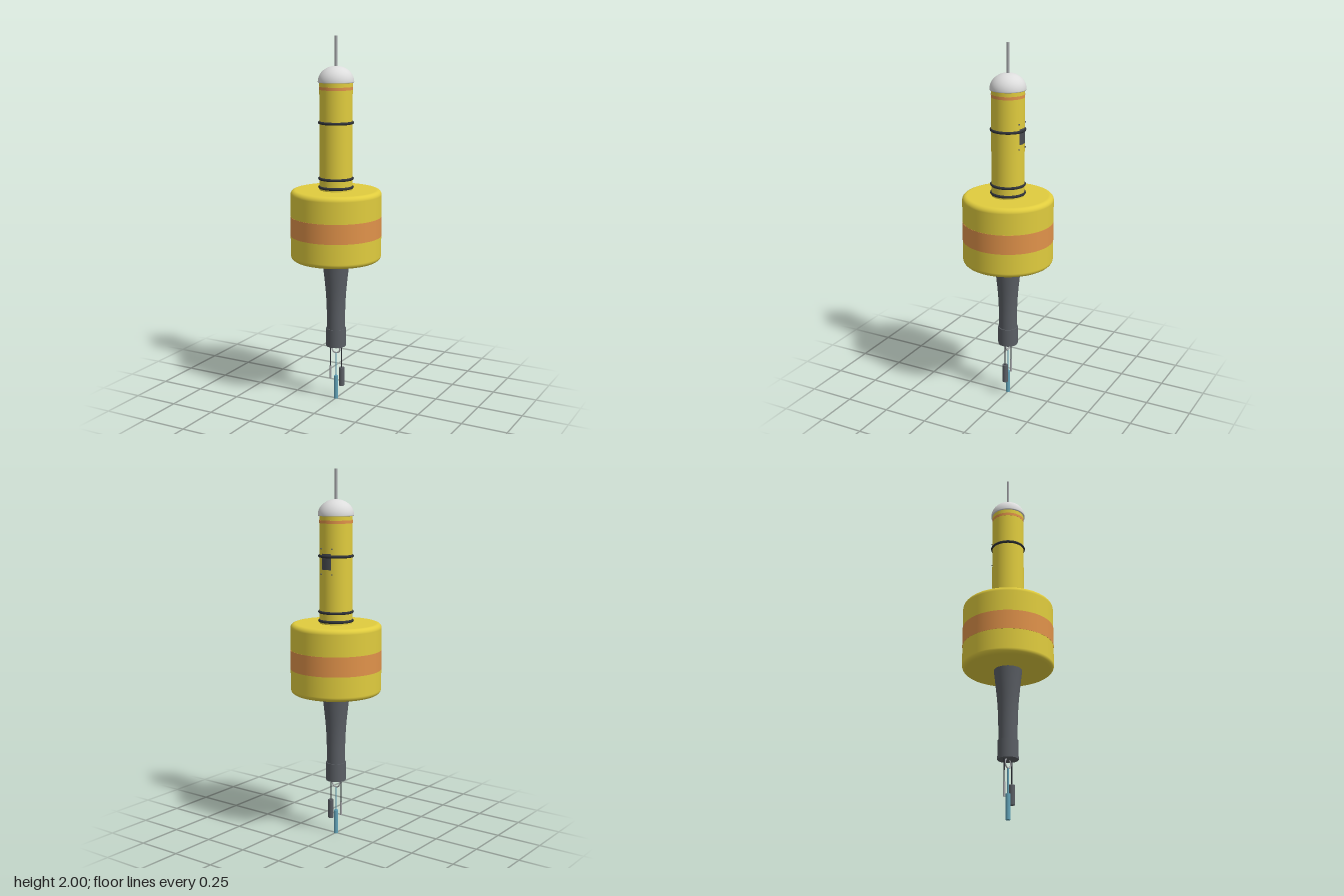
import * as THREE from 'three';

const mat = (name, color, side = THREE.FrontSide) => {
  const m = new THREE.MeshStandardMaterial({ color, side });
  m.name = name;
  return m;
};

export function createModel() {
  const yellow = mat('buoy yellow', 0xe0cc3e);
  const orange = mat('band orange', 0xe0924a);
  const darkGrey = mat('stem grey', 0x5a5e64);
  const black = mat('ring black', 0x2f3238);
  const white = mat('dome white', 0xdddddd);
  const metal = mat('metal grey', 0xa6a8ab);
  const blue = mat('sensor blue', 0x62a3b8);
  const panelGrey = mat('panel grey', 0x4a4d52, THREE.DoubleSide);

  const model = new THREE.Group();
  const add = (name, geo, material, x = 0, y = 0, z = 0) => {
    const mesh = new THREE.Mesh(geo, material);
    mesh.name = name;
    mesh.position.set(x, y, z);
    model.add(mesh);
    return mesh;
  };
  // upright cylinder between two heights
  const rod = (name, r, y0, y1, material, x = 0, seg = 64) =>
    add(name, new THREE.CylinderGeometry(r, r, y1 - y0, seg), material, x, (y0 + y1) / 2);
  const lathe = (name, pts, material) =>
    add(name, new THREE.LatheGeometry(pts.map(p => new THREE.Vector2(p[0], p[1])), 96), material);

  // float: drum with rounded rims
  const R = 0.245, y0 = 0.805, y1 = 1.188, c = 0.026;
  const drum = [[0, y0], [R - c - 0.002, y0]];
  for (let i = 0; i <= 8; i++) {
    const a = -Math.PI / 2 + (i / 8) * Math.PI / 2;
    drum.push([R - c + c * Math.cos(a), y0 + c + c * Math.sin(a)]);
  }
  for (let i = 0; i <= 8; i++) {
    const a = (i / 8) * Math.PI / 2;
    drum.push([R - c + c * Math.cos(a), y1 - c + c * Math.sin(a)]);
  }
  drum.push([R - c - 0.002, y1], [0, y1]);
  lathe('float', drum, yellow);
  rod('floatBand', R + 0.001, 0.94, 1.046, orange, 0, 96);

  // tower with seals and stripe
  rod('tower', 0.088, 1.18, 1.762, yellow);
  rod('towerStripe', 0.0888, 1.72, 1.736, orange);
  for (const y of [1.203, 1.25, 1.548]) {
    add('sealRing', new THREE.TorusGeometry(0.088, 0.0075, 12, 72), black, 0, y)
      .rotation.x = Math.PI / 2;
  }

  // dome with closed underside, and antenna
  const dome = [[0, 1.758], [0.0955, 1.758]];
  for (let i = 0; i <= 20; i++) {
    const a = (i / 20) * Math.PI / 2;
    dome.push([i === 20 ? 0 : 0.0957 * Math.cos(a), 1.762 + 0.082 * Math.sin(a)]);
  }
  lathe('dome', dome, white);
  rod('antenna', 0.007, 1.84, 2, metal, 0, 24);

  // curved panel and four screws on the back of the tower
  const half = 0.35;
  add('backPanel', new THREE.CylinderGeometry(0.0895, 0.0895, 0.084, 16, 1, true, Math.PI - half, 2 * half),
    panelGrey, 0, 1.521);
  for (const sx of [-1, 1]) for (const y of [1.455, 1.589]) {
    const a = Math.PI + sx * 0.4;
    const screw = add('panelScrew', new THREE.CylinderGeometry(0.0035, 0.0035, 0.012, 12), darkGrey,
      0.0875 * Math.sin(a), y, 0.0875 * Math.cos(a));
    screw.rotation.set(Math.PI / 2, a, 0, 'YXZ');
  }

  // tapered stem and collar
  const taper = new THREE.SplineCurve([[0.05, 0.4], [0.051, 0.52], [0.056, 0.62], [0.067, 0.73], [0.077, 0.815]]
    .map(p => new THREE.Vector2(p[0], p[1])));
  lathe('stem', taper.getPoints(24).map(p => [p.x, p.y]), darkGrey);
  rod('stemCollar', 0.055, 0.312, 0.413, darkGrey);

  // shackle and hanging instruments
  add('shackle', new THREE.TorusGeometry(0.025, 0.004, 10, 40), metal, 0, 0.293);
  rod('leftCable', 0.003, 0.18, 0.315, black, 0.035, 10);
  rod('leftInstrument', 0.0155, 0.083, 0.187, darkGrey, 0.035, 32);
  rod('rightCable', 0.003, 0.18, 0.315, black, -0.035, 10);
  rod('rightInstrument', 0.006, 0.112, 0.187, metal, -0.035, 24);
  rod('centreCable', 0.004, 0.125, 0.27, blue, 0, 12);
  rod('centreInstrument', 0.0125, 0, 0.133, blue, 0, 32);

  return model;
}
